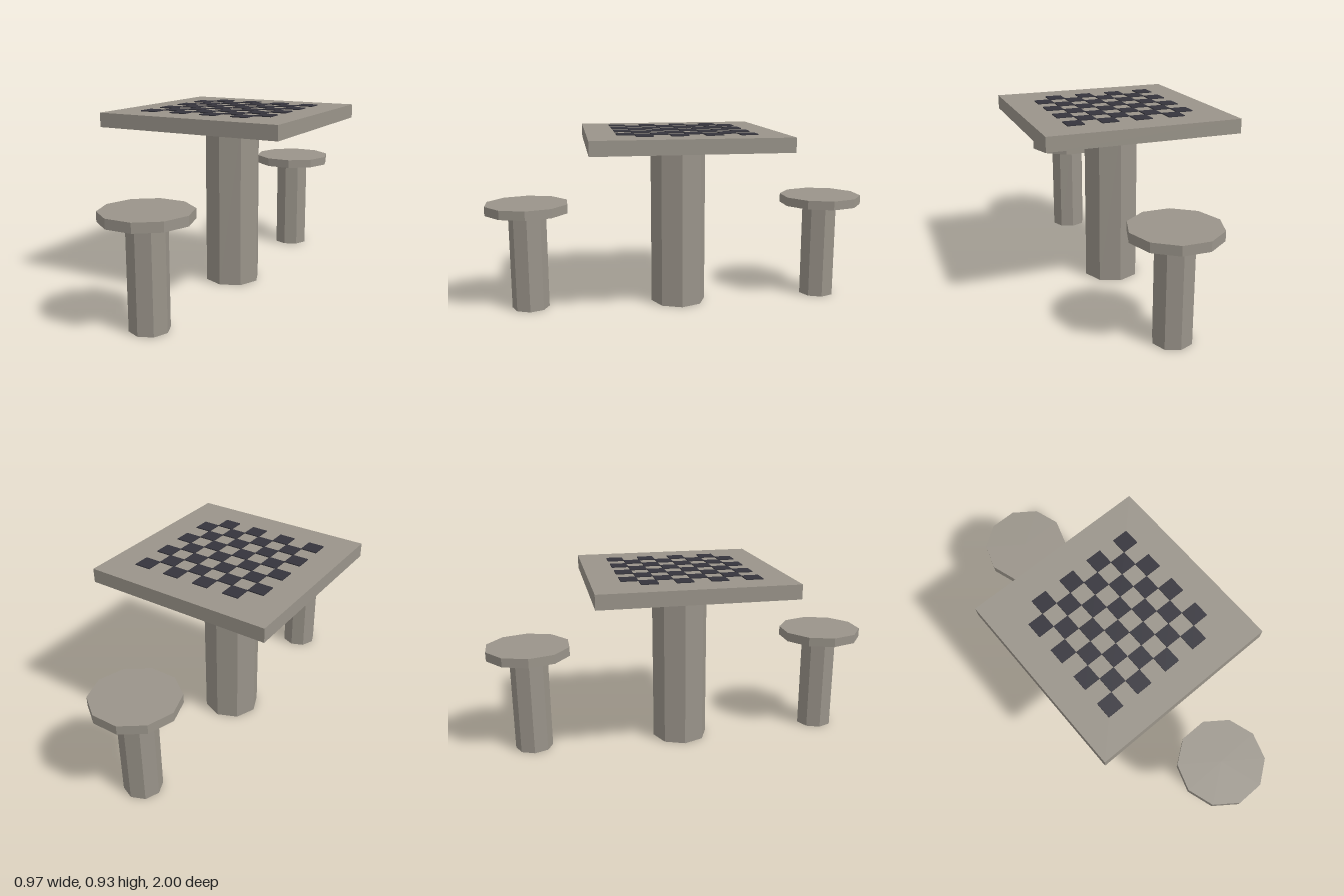
import * as THREE from 'three';

const stone = new THREE.MeshStandardMaterial({ color: 0x9a948a });
stone.name = 'stone';
const darkTile = new THREE.MeshStandardMaterial({ color: 0x35343c });
darkTile.name = 'dark tile';

function add(parent, name, geometry, material, x, y, z) {
  const mesh = new THREE.Mesh(geometry, material);
  mesh.name = name;
  mesh.position.set(x, y, z);
  parent.add(mesh);
  return mesh;
}

// Upright faceted prism with flat normals, standing between two heights
function prism(parent, name, radius, sides, bottom, top, turn = 0) {
  const geometry = new THREE.CylinderGeometry(radius, radius, top - bottom, sides)
    .rotateY(turn).toNonIndexed();
  geometry.computeVertexNormals();
  return add(parent, name, geometry, stone, 0, (bottom + top) / 2, 0);
}

export function createModel() {
  const model = new THREE.Group();
  model.name = 'chessTableWithStools';

  // Table: octagonal pedestal and square slab
  const table = new THREE.Group();
  table.name = 'table';
  model.add(table);
  const slabBottom = 0.855, slabTop = 0.927;
  prism(table, 'pedestal', 0.146, 8, 0, slabBottom);
  add(table, 'tableTop', new THREE.BoxGeometry(0.97, slabTop - slabBottom, 0.97),
    stone, 0, (slabBottom + slabTop) / 2, 0);

  // Dark squares of the 8 x 8 board, as thin plates
  const board = new THREE.Group();
  board.name = 'chessBoard';
  table.add(board);
  const cell = 0.085, thickness = 0.005;
  const tile = new THREE.BoxGeometry(cell, thickness, cell);
  for (let row = 0; row < 8; row++) {
    for (let col = 0; col < 8; col++) {
      if ((row + col) % 2 === 0) continue;
      add(board, 'darkSquare', tile, darkTile,
        (col - 3.5) * cell, slabTop + thickness / 2, (row - 3.5) * cell);
    }
  }

  // Two stools, front and back
  for (const side of [1, -1]) {
    const stool = new THREE.Group();
    stool.name = side > 0 ? 'frontStool' : 'backStool';
    stool.position.z = side * 0.793;
    prism(stool, 'stoolLeg', 0.097, 8, 0, 0.514);
    prism(stool, 'seat', 0.218, 10, 0.514, 0.561, Math.PI / 2);
    model.add(stool);
  }

  return model;
}
